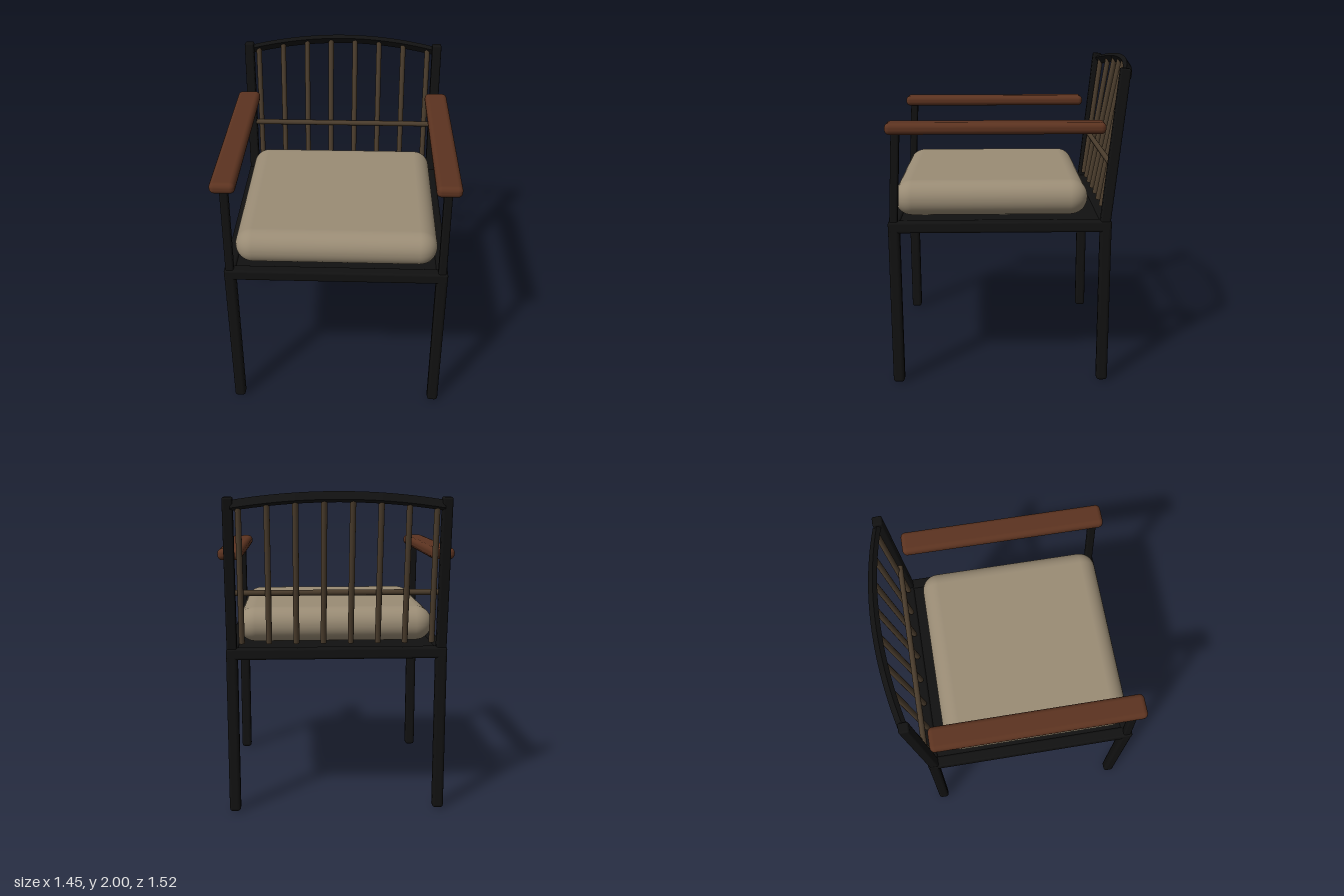
import * as THREE from 'three';
import { RoundedBoxGeometry } from 'three/addons/geometries/RoundedBoxGeometry.js';

const paint = (color) => new THREE.MeshStandardMaterial({ color });
const UP = new THREE.Vector3(0, 1, 0);

export function createModel() {
  const chair = new THREE.Group();
  const black = paint(0x111111);
  const wood = paint(0x5c3320);
  const brown = paint(0x4a3c2c);
  const fabric = paint(0x9a8c75);

  function add(name, geometry, material, x, y, z) {
    const mesh = new THREE.Mesh(geometry, material);
    mesh.name = name;
    mesh.position.set(x, y, z);
    chair.add(mesh);
    return mesh;
  }

  const roundBox = (w, h, d, r, seg = 2) => new RoundedBoxGeometry(w, h, d, seg, r);

  // Stretches a bar or rod between two points
  function span(name, a, b, material, makeGeometry) {
    const start = new THREE.Vector3(...a);
    const dir = new THREE.Vector3(...b).sub(start);
    const mid = start.clone().addScaledVector(dir, 0.5);
    const mesh = add(name, makeGeometry(dir.length()), material, mid.x, mid.y, mid.z);
    mesh.quaternion.setFromUnitVectors(UP, dir.normalize());
  }
  const rod = (length) => new THREE.CylinderGeometry(0.018, 0.018, length, 12);
  const bar = (size) => (length) => roundBox(size, length, size, 0.012);

  // Legs, posts, arms and side rails, mirrored
  for (const side of [-1, 1]) {
    const x = side * 0.645;
    add('frontLeg', roundBox(0.07, 1.04, 0.07, 0.02), black, x, 0.52, 0.727);
    add('backLeg', roundBox(0.07, 1.04, 0.07, 0.02), black, x, 0.52, -0.557);
    add('sideRail', roundBox(0.07, 0.07, 1.354, 0.015), black, x, 1.015, 0.085);
    span('armPost', [x, 1.03, 0.729], [x, 1.61, 0.70], black, bar(0.05));
    span('backPost', [x, 1.02, -0.552], [x, 1.963, -0.647], black, bar(0.062));
    add('armrest', roundBox(0.15, 0.07, 1.295, 0.03, 3), wood, side * 0.648, 1.62, 0.11);
  }

  // Seat frame and panel
  add('frontRail', roundBox(1.36, 0.07, 0.07, 0.015), black, 0, 1.015, 0.727);
  add('backRail', roundBox(1.36, 0.07, 0.07, 0.015), black, 0, 1.015, -0.557);
  add('seatPanel', new THREE.BoxGeometry(1.26, 0.05, 1.26), black, 0, 1.015, 0.085);

  // Cushion
  add('cushion', roundBox(1.23, 0.22, 1.19, 0.108, 5), fabric, 0, 1.165, 0.137);

  // Arched top rail, leaning back
  const half = 0.63, tilt = THREE.MathUtils.degToRad(55), steps = 20;
  const arch = (x) => -0.09 * (x / half) ** 2;
  const shape = new THREE.Shape();
  for (let i = 0; i <= steps; i++) {
    const x = -half + (2 * half * i) / steps;
    if (i === 0) shape.moveTo(x, arch(x) + 0.015);
    else shape.lineTo(x, arch(x) + 0.015);
  }
  for (let i = steps; i >= 0; i--) {
    const x = -half + (2 * half * i) / steps;
    shape.lineTo(x, arch(x) - 0.015);
  }
  const railGeometry = new THREE.ExtrudeGeometry(shape, { depth: 0.056, bevelEnabled: false });
  railGeometry.translate(0, 0, -0.028);
  const railY = 1.966, railZ = -0.727;
  add('topRail', railGeometry, black, 0, railY, railZ).rotation.x = -tilt;

  // Spindles fanning up to the arch
  for (let i = 0; i < 8; i++) {
    const x = -0.583 + (1.166 * i) / 7;
    const top = [x, railY + arch(x) * Math.cos(tilt), railZ - arch(x) * Math.sin(tilt)];
    span('spindle', [x, 1.08, -0.56], top, brown, rod);
  }

  // Lower crossbar
  span('crossbar', [-0.63, 1.392, -0.579], [0.63, 1.392, -0.579], brown, rod);

  return chair;
}
